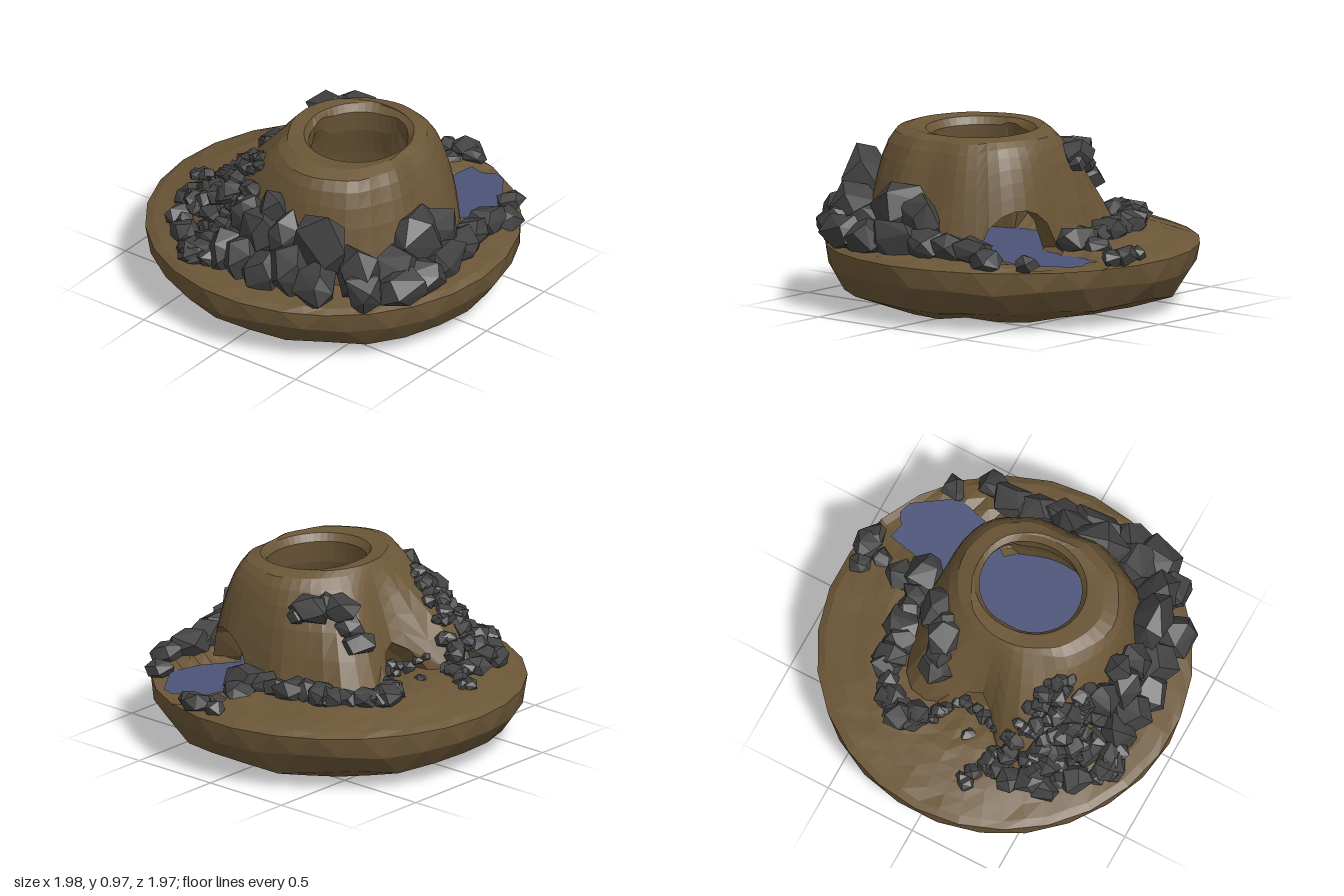
import * as THREE from 'three';
import { ConvexGeometry } from 'three/addons/geometries/ConvexGeometry.js';

const flat = (color) => new THREE.MeshStandardMaterial({ color, flatShading: true });
const earth = flat(0x6b5637);
const stone = flat(0x414142);
const waterMat = flat(0x4c5378);
const TAU = Math.PI * 2;
const CX = 0.2, CZ = 0.06; // centre of the hollow mound
const BZ = 0.015; // centre of the brim

let seed = 7;
const rand = () => {
  seed = (seed * 16807) % 2147483647;
  return seed / 2147483647;
};
const jit = (s) => (rand() - 0.5) * 2 * s;
const smooth = THREE.MathUtils.smoothstep;

// Rings of points joined into a skin, closed around the columns
function skin(rows, cols, point, closeRows = false) {
  const pos = [], index = [];
  for (let i = 0; i < rows; i++)
    for (let j = 0; j < cols; j++) pos.push(...point(i, j));
  const last = closeRows ? rows : rows - 1;
  for (let i = 0; i < last; i++)
    for (let j = 0; j < cols; j++) {
      const k = (j + 1) % cols, n = (i + 1) % rows;
      const a = i * cols + j, b = i * cols + k, c = n * cols + j, d = n * cols + k;
      index.push(a, c, b, b, c, d);
    }
  const g = new THREE.BufferGeometry();
  g.setAttribute('position', new THREE.Float32BufferAttribute(pos, 3));
  g.setIndex(index);
  g.computeVertexNormals();
  return g;
}

function mesh(name, geometry, material) {
  const m = new THREE.Mesh(geometry, material);
  m.name = name;
  return m;
}

// Smooth value around the mound from a table with one entry per 30 degrees
function around(table, a) {
  const u = ((((a / TAU) % 1) + 1) % 1) * 12, i = Math.floor(u);
  return THREE.MathUtils.lerp(table[i % 12], table[(i + 1) % 12], smooth(u - i, 0, 1));
}
const FOOT = [0.53, 0.57, 0.61, 0.61, 0.7, 0.95, 0.6, 0.76, 0.6, 0.53, 0.56, 0.54];
const CROWN = [0.29, 0.33, 0.38, 0.41, 0.39, 0.36, 0.35, 0.34, 0.31, 0.3, 0.3, 0.29];
const POWER = [0.6, 0.45, 0.35, 0.3, 0.55, 1, 0.8, 0.8, 0.45, 0.3, 0.33, 0.42];
const LOW = 0.39, HIGH = 0.965;

const moundRadius = (a, y) => {
  const f = THREE.MathUtils.clamp((HIGH - y) / (HIGH - LOW), 0, 1);
  return THREE.MathUtils.lerp(around(CROWN, a), around(FOOT, a), f ** around(POWER, a));
};

// Brim height, dipping for the pond and its outlet
function groundY(x, z) {
  const r = Math.hypot(x, z - BZ);
  let y = 0.335 + 0.03 * smooth(0.985 - r, 0, 0.06) + 0.035 * smooth(0.9 - r, 0, 0.3);
  y += 0.025 * smooth(-x, 0.1, 0.6) * smooth(0.95 - r, 0, 0.2);
  const pond = Math.hypot(x - CX, z - CZ) - 0.4;
  const t = THREE.MathUtils.clamp(z, -0.76, -0.3);
  const outlet = Math.hypot(x - 0.43, z - t) - 0.16;
  return THREE.MathUtils.lerp(0.33, y, smooth(Math.min(pond, outlet), 0, 0.07));
}

// Height of the visible land at a place
function landY(x, z) {
  const a = Math.atan2(z - CZ, x - CX), r = Math.hypot(x - CX, z - CZ);
  const c = around(CROWN, a);
  const f = THREE.MathUtils.clamp((r - c) / (around(FOOT, a) - c), 0, 1);
  return Math.max(groundY(x, z), f < 1 ? HIGH - (HIGH - LOW) * f ** (1 / around(POWER, a)) : 0);
}

// Faceted boulder
function boulder(x, y, z, sx, sy, sz) {
  const pts = [], n = 13, turn = rand() * TAU;
  for (let i = 0; i < n; i++) {
    const h = 1 - (2 * (i + 0.5)) / n, q = turn + i * 2.4 + jit(0.4), w = Math.sqrt(1 - h * h);
    const s = 1.06 + jit(0.14);
    pts.push(new THREE.Vector3(Math.cos(q) * w * s, h * s, Math.sin(q) * w * s));
  }
  const m = mesh('boulder', new ConvexGeometry(pts), stone);
  m.scale.set(sx, sy, sz);
  m.position.set(x, y, z);
  return m;
}

// Boulders given by place, half width, top height and half depth, reaching down to the brim
function pile(name, list) {
  const g = new THREE.Group();
  g.name = name;
  for (const [x, z, w, top, depth = w] of list) {
    const h = Math.min((top - 0.33) / 2, w * 1.4);
    g.add(boulder(x, top - h, z, w, h, depth));
  }
  return g;
}

// Stones strewn along a path over the land
function trail(name, path, count, size, spread) {
  const g = new THREE.Group();
  g.name = name;
  const curve = new THREE.CatmullRomCurve3(path.map(([x, z]) => new THREE.Vector3(x, 0, z)));
  for (let i = 0; i < count; i++) {
    const p = curve.getPoint(i / (count - 1));
    const x = p.x + jit(spread), z = p.z + jit(spread), s = size * (1 + jit(0.3));
    g.add(boulder(x, landY(x, z) + s * 0.25, z, s * (1 + jit(0.2)), s * 0.8, s));
  }
  return g;
}

export function createModel() {
  seed = 7;
  const model = new THREE.Group();
  model.name = 'rockyIsland';

  // Faceted bowl under the island, each ring turned half a step into teeth
  const COLS = 26, RIM = 0.99;
  const bowl = [[0, 0.005], [0.42, 0.008], [0.7, 0.03], [0.885, 0.1], [0.972, 0.225], [RIM, 0.335]];
  model.add(mesh('bowl', skin(bowl.length, COLS, (i, j) => {
    const rim = i === bowl.length - 1, a = ((j + (i - bowl.length + 1) * 0.5) / COLS) * TAU;
    const r = bowl[i][0] * (rim ? 1 : 1 + jit(0.01));
    return [r * Math.cos(a), bowl[i][1] + (rim || i < 2 ? 0 : jit(0.015)), BZ + r * Math.sin(a)];
  }), earth));

  // Brim
  const rings = [RIM, 0.95, 0.87, 0.8, 0.73, 0.66, 0.59, 0.52, 0.44, 0.34, 0.2, 0];
  model.add(mesh('brim', skin(rings.length, COLS * 2, (i, j) => {
    const a = (j / COLS / 2) * TAU;
    const r = rings[i] * (j % 2 ? Math.cos(Math.PI / COLS) : 1);
    const x = r * Math.cos(a), z = BZ + r * Math.sin(a);
    return [x, i ? groundY(x, z) + jit(0.005) : 0.335, z];
  }), earth));

  // Hollow mound with an open crown; its lower edge lifts into two cave arches
  const arches = [[296, 27, 0.6], [181, 15, 0.58]];
  const footY = (a) => {
    let y = 0.3;
    for (const [deg, half, top] of arches) {
      const d = Math.abs((a * 360) / TAU - deg) / half;
      if (d < 1) y = 0.3 + (top - 0.3) * Math.sqrt(1 - d * d);
    }
    return y;
  };
  const outer = [0, 0.2, 0.4, 0.6, 0.76, 0.88, 0.96, 1];
  const inner = [[0.99, 0.275], [0.93, 0.25], [0.75, 0.265], [0.5, 0.32], [0.25, 0.36], [0, 0.38]];
  model.add(mesh('hollowMound', skin(outer.length + inner.length, 48, (i, j) => {
    const a = (j / 48) * TAU, b = footY(a);
    const out = i < outer.length, [t, ri] = out ? [outer[i]] : inner[i - outer.length];
    const y = b + (HIGH - b) * t;
    const r = out ? moundRadius(a, y) : ri * (1 + 0.1 * Math.sin(a) ** 2);
    return [CX + r * Math.cos(a), y - 0.01 * t * Math.cos(a), CZ + r * Math.sin(a)];
  }, true), earth));

  // Pond running out through the back arch
  const shore = [[0.2, -0.42], [0.28, -0.82], [0.36, -0.8], [0.42, -0.84], [0.49, -0.82], [0.64, -0.6], [0.59, -0.42]];
  const outline = new THREE.Shape(shore.map(([x, z]) => new THREE.Vector2(x, -z)));
  outline.absarc(CX, -CZ, 0.4, 0.85, 2.1 - TAU, true);
  const water = mesh('water', new THREE.ShapeGeometry(outline), waterMat);
  water.rotation.x = -Math.PI / 2;
  water.position.y = 0.357;
  model.add(water);

  // Large boulders along the front and the left side
  model.add(pile('frontBoulders', [
    [0.42, 0.66, 0.16, 0.85, 0.13], [0.47, 0.77, 0.13, 0.6], [0.6, 0.6, 0.13, 0.66], [0.68, 0.64, 0.12, 0.56],
    [0.27, 0.75, 0.13, 0.65], [0.2, 0.68, 0.1, 0.76], [0.13, 0.81, 0.12, 0.56, 0.1], [0.08, 0.64, 0.08, 0.84],
    [0.05, 0.7, 0.11, 0.75], [-0.02, 0.79, 0.12, 0.6, 0.1], [-0.08, 0.64, 0.09, 0.77], [-0.14, 0.76, 0.1, 0.56],
  ]));
  model.add(pile('sideBoulders', [
    [0.8, 0.47, 0.12, 0.53, 0.15], [0.83, 0.33, 0.1, 0.53, 0.16], [0.71, 0.38, 0.13, 0.6, 0.16],
    [0.69, 0.2, 0.12, 0.73, 0.17], [0.81, 0.13, 0.1, 0.55, 0.18], [0.71, 0.05, 0.1, 0.66, 0.16],
    [0.79, -0.05, 0.1, 0.52, 0.15], [0.75, -0.2, 0.09, 0.51, 0.13], [0.74, -0.34, 0.1, 0.5, 0.12],
    [0.78, -0.46, 0.08, 0.46, 0.1], [0.67, -0.65, 0.07, 0.43],
  ]));
  model.add(pile('backBoulders', [
    [0.18, -0.91, 0.09, 0.44, 0.08], [0.24, -0.89, 0.07, 0.43], [0.07, -0.89, 0.06, 0.42],
    [0.15, -0.8, 0.06, 0.41], [0.11, -0.65, 0.09, 0.45, 0.11],
  ]));

  // Rubble down the front right ridge
  model.add(trail('ridgeRubbleUpper', [[-0.17, 0.45], [-0.3, 0.38], [-0.6, 0.26]], 22, 0.045, 0.04));
  model.add(trail('ridgeRubbleMiddle', [[-0.12, 0.6], [-0.3, 0.51], [-0.64, 0.32]], 28, 0.06, 0.05));
  model.add(trail('ridgeRubbleLower', [[-0.16, 0.7], [-0.35, 0.62], [-0.62, 0.42]], 20, 0.065, 0.04));
  model.add(trail('ridgeRubbleFoot', [[-0.2, 0.79], [-0.33, 0.8], [-0.6, 0.55]], 9, 0.07, 0.02));
  model.add(trail('ridgeRubbleTail', [[-0.76, 0.18], [-0.6, 0.25]], 5, 0.05, 0.02));

  // Stones around the side cave and along the back
  model.add(trail('caveStones', [[-0.46, 0.19], [-0.38, 0.05], [-0.43, -0.08], [-0.53, -0.14]], 11, 0.035, 0.01));
  model.add(pile('looseStone', [[-0.52, 0.08, 0.05, 0.45]]));
  model.add(trail('backLeftArc', [[-0.58, -0.2], [-0.57, -0.32], [-0.38, -0.49]], 16, 0.065, 0.03));
  model.add(trail('backRow', [[-0.33, -0.5], [-0.17, -0.51], [-0.02, -0.53], [0.16, -0.54]], 6, 0.08, 0.01));
  model.add(trail('shoulderStones', [[-0.05, -0.37], [-0.19, -0.24], [-0.34, -0.21]], 6, 0.08, 0.01));
  return model;
}
